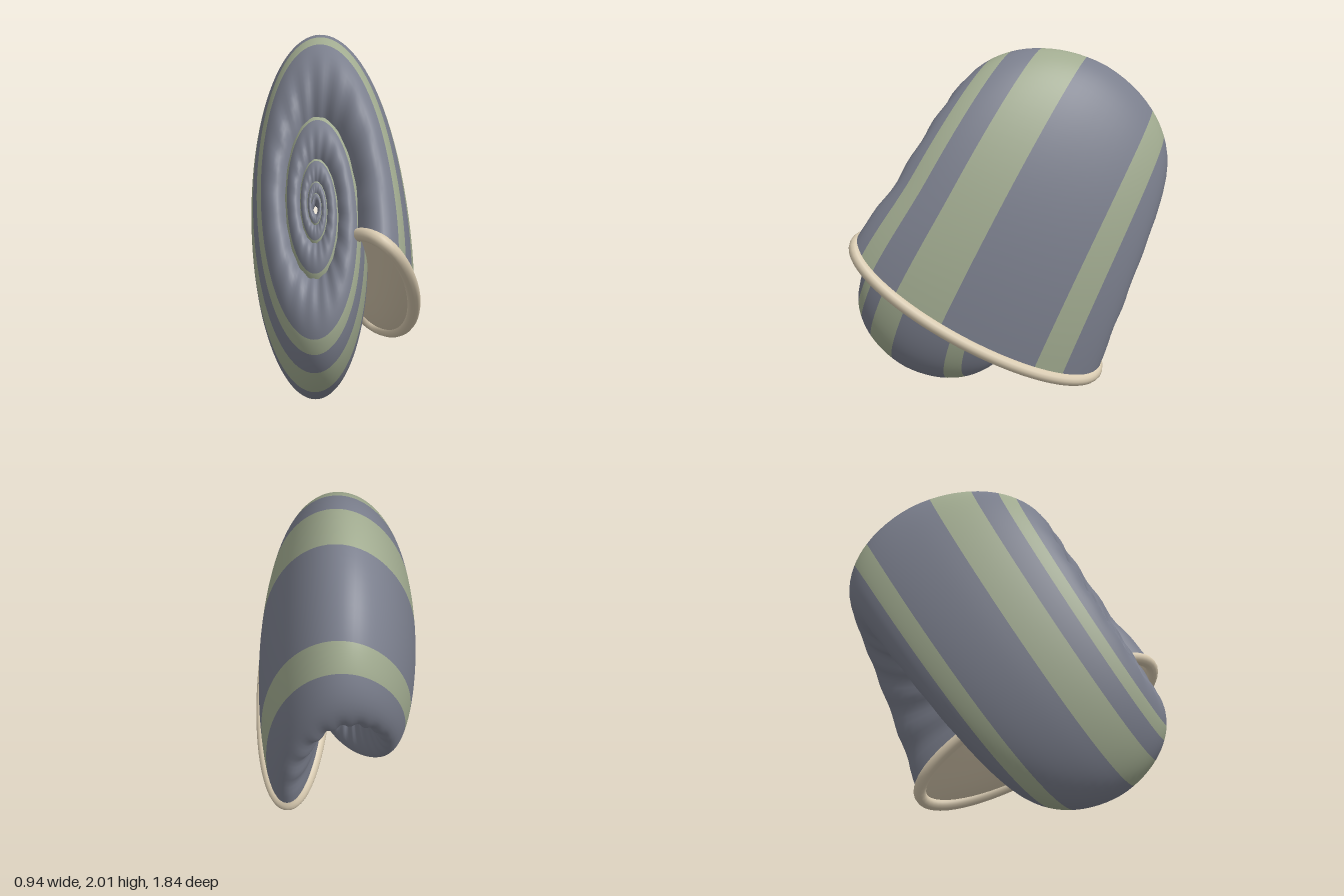
import * as THREE from 'three';

// Skewed spiral frame: U and V span the coil, N is the coiling axis
const APEX = new THREE.Vector3(-0.14, 1.11, 0.575);
const U = new THREE.Vector3(0.41, -0.225, 0.33);
const V = new THREE.Vector3(0.125, 1.075, -0.53);
const N = new THREE.Vector3(-0.09, 0.48, 0.82);
const GROWTH = 1.94; // size ratio from one whorl to the next
const RIBS = 18; // wrinkles per whorl
const TURN = 2 * Math.PI;

const { degToRad, smoothstep } = THREE.MathUtils;

// Point on the shell: theta runs back from the mouth, alpha runs round the section
function shellPoint(theta, alpha, size = 1) {
  const g = Math.pow(GROWTH, -theta / TURN);
  const cos = Math.cos(alpha);
  const sin = Math.sin(alpha);
  const ribs = (0.013 - 0.004 * sin) * smoothstep(0.1 * sin - cos, -0.35, 0.3) * smoothstep(theta, 0, 0.3);
  const flare = 0.06 * smoothstep(theta, 0, 0.5) * Math.max(0, sin);
  const s = size * (1 - flare + ribs * Math.cos(RIBS * theta + 2 * sin));
  const r = 0.75 + 0.47 * s * cos;
  const h = -0.76 + s * (0.83 * sin - 0.04 * cos);
  return APEX.clone()
    .addScaledVector(U, g * r * Math.cos(theta))
    .addScaledVector(V, g * r * Math.sin(theta))
    .addScaledVector(N, g * h);
}

// Closed ring surface with one material group per colour band: [from, to, steps, material]
function sweep(bands, rows, pointAt) {
  const alphas = [];
  const columns = [];
  for (const [from, to, steps, material] of bands) {
    for (let k = 0; k < steps; k++) {
      alphas.push(degToRad(from + ((to - from) * k) / steps));
      columns.push(material);
    }
  }
  const cols = alphas.length;
  const positions = [];
  for (let i = 0; i <= rows; i++) {
    for (const alpha of alphas) positions.push(...pointAt(i / rows, alpha).toArray());
  }
  const geometry = new THREE.BufferGeometry();
  const index = [];
  for (let j = 0; j < cols; j++) {
    const next = (j + 1) % cols;
    geometry.addGroup(index.length, rows * 6, columns[j]);
    for (let i = 0; i < rows; i++) {
      const a = i * cols + j, b = a + cols;
      const c = i * cols + next, d = c + cols;
      index.push(a, b, c, b, d, c);
    }
  }
  geometry.setAttribute('position', new THREE.Float32BufferAttribute(positions, 3));
  geometry.setIndex(index);
  geometry.computeVertexNormals();
  return geometry;
}

export function createModel() {
  const slate = new THREE.MeshStandardMaterial({ color: 0x7b7f8d });
  slate.name = 'slate';
  const sage = new THREE.MeshStandardMaterial({ color: 0xa1ab90 });
  sage.name = 'sage';
  const cream = new THREE.MeshStandardMaterial({ color: 0xd6c8ae, side: THREE.DoubleSide });
  cream.name = 'cream';

  const model = new THREE.Group();
  model.name = 'spiralShell';
  const add = (name, geometry, materials) => {
    const mesh = new THREE.Mesh(geometry, materials);
    mesh.name = name;
    model.add(mesh);
  };

  // Coiled whorls with three green bands
  const bands = [
    [-50, -34, 4, 1],
    [-34, 10, 8, 0],
    [10, 34, 5, 1],
    [34, 51, 4, 0],
    [51, 64, 4, 1],
    [64, 310, 44, 0],
  ];
  add('whorls', sweep(bands, 450, (u, alpha) => shellPoint(u * 4.5 * TURN, alpha)), [slate, sage]);

  // Shallow pale dome filling the mouth
  const dome = (u, alpha) => shellPoint(-0.07 * (1 - (1 - u) ** 2), alpha, 0.98 * (1 - u));
  add('mouthDome', sweep([[0, 360, 64, 0]], 12, dome), [cream]);

  // Rounded lip around the mouth
  const rim = [];
  for (let k = 0; k < 48; k++) rim.push(shellPoint(0, (k / 48) * TURN, 0.985));
  const lipCurve = new THREE.CatmullRomCurve3(rim, true);
  add('lip', new THREE.TubeGeometry(lipCurve, 120, 0.036, 12, true), cream);

  return model;
}
